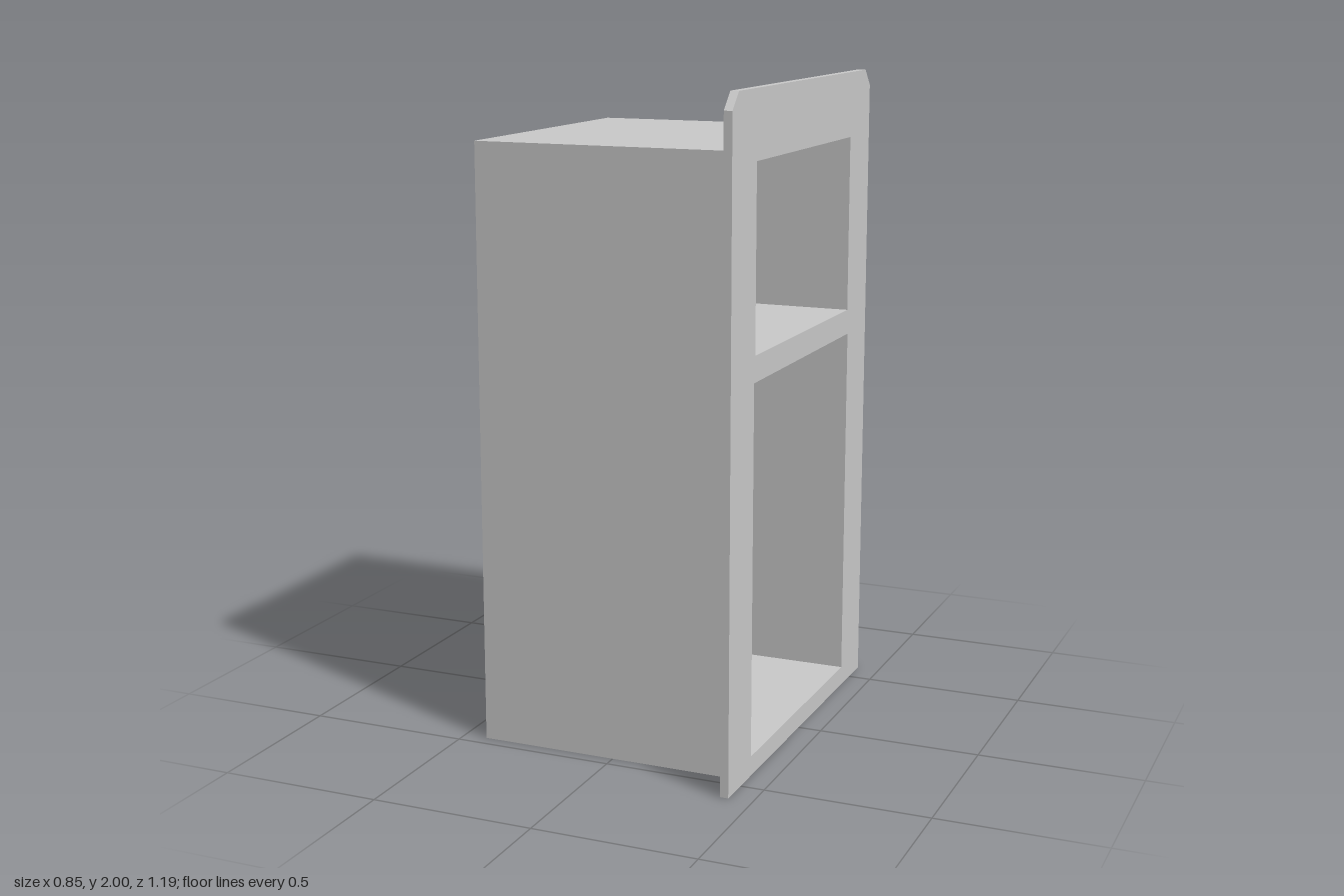
import * as THREE from 'three';

const material = new THREE.MeshStandardMaterial({ color: 0xcccccc, side: THREE.DoubleSide, flatShading: true });
const BACK = -0.427, FRONT = 0.427, FLANGE = 0.402;

// Corner points of a rectangle, as (across, up)
const rect = (half, y0, y1) => [[-half, y0], [half, y0], [half, y1], [-half, y1]];

// Sheet wall that follows an outline from x0 to x1
function wall(name, points, x0, x1, closed) {
  const positions = [];
  const count = closed ? points.length : points.length - 1;
  for (let i = 0; i < count; i++) {
    const [az, ay] = points[i];
    const [bz, by] = points[(i + 1) % points.length];
    const a = [x0, ay, -az], b = [x0, by, -bz], c = [x1, by, -bz], d = [x1, ay, -az];
    positions.push(...a, ...b, ...c, ...a, ...c, ...d);
  }
  const geometry = new THREE.BufferGeometry();
  geometry.setAttribute('position', new THREE.Float32BufferAttribute(positions, 3));
  geometry.computeVertexNormals();
  const mesh = new THREE.Mesh(geometry, material);
  mesh.name = name;
  return mesh;
}

// Flat sheet facing +x, with optional openings
function panel(name, points, x, holes = []) {
  const toVectors = (list) => list.map(([u, v]) => new THREE.Vector2(u, v));
  const shape = new THREE.Shape(toVectors(points));
  for (const hole of holes) shape.holes.push(new THREE.Path(toVectors(hole)));
  const geometry = new THREE.ShapeGeometry(shape);
  geometry.rotateY(Math.PI / 2);
  geometry.translate(x, 0, 0);
  const mesh = new THREE.Mesh(geometry, material);
  mesh.name = name;
  return mesh;
}

export function createModel() {
  const group = new THREE.Group();
  group.name = 'cabinet';

  const upper = rect(0.41, 1.255, 1.8);
  const lower = rect(0.417, 0.06, 1.177);

  // Outer casing, open at the rear
  group.add(wall('casing', rect(0.458, 0, 1.83), BACK, FRONT, true));

  // Front plate with clipped top corners and a flange folded back on three sides
  const outline = [[0.597, 0], [0.597, 1.95], [0.55, 2], [-0.55, 2], [-0.597, 1.95], [-0.597, 0]];
  group.add(panel('frontPlate', outline, FRONT, [upper, lower]));
  group.add(wall('plateFlange', outline, FLANGE, FRONT, false));

  // Two compartments, each a tube closed at the rear
  for (const [name, opening] of [['upperCompartment', upper], ['lowerCompartment', lower]]) {
    const compartment = new THREE.Group();
    compartment.name = name;
    compartment.add(wall(name + 'Walls', opening, BACK, FRONT, true));
    compartment.add(panel(name + 'Back', opening, BACK));
    group.add(compartment);
  }
  return group;
}
